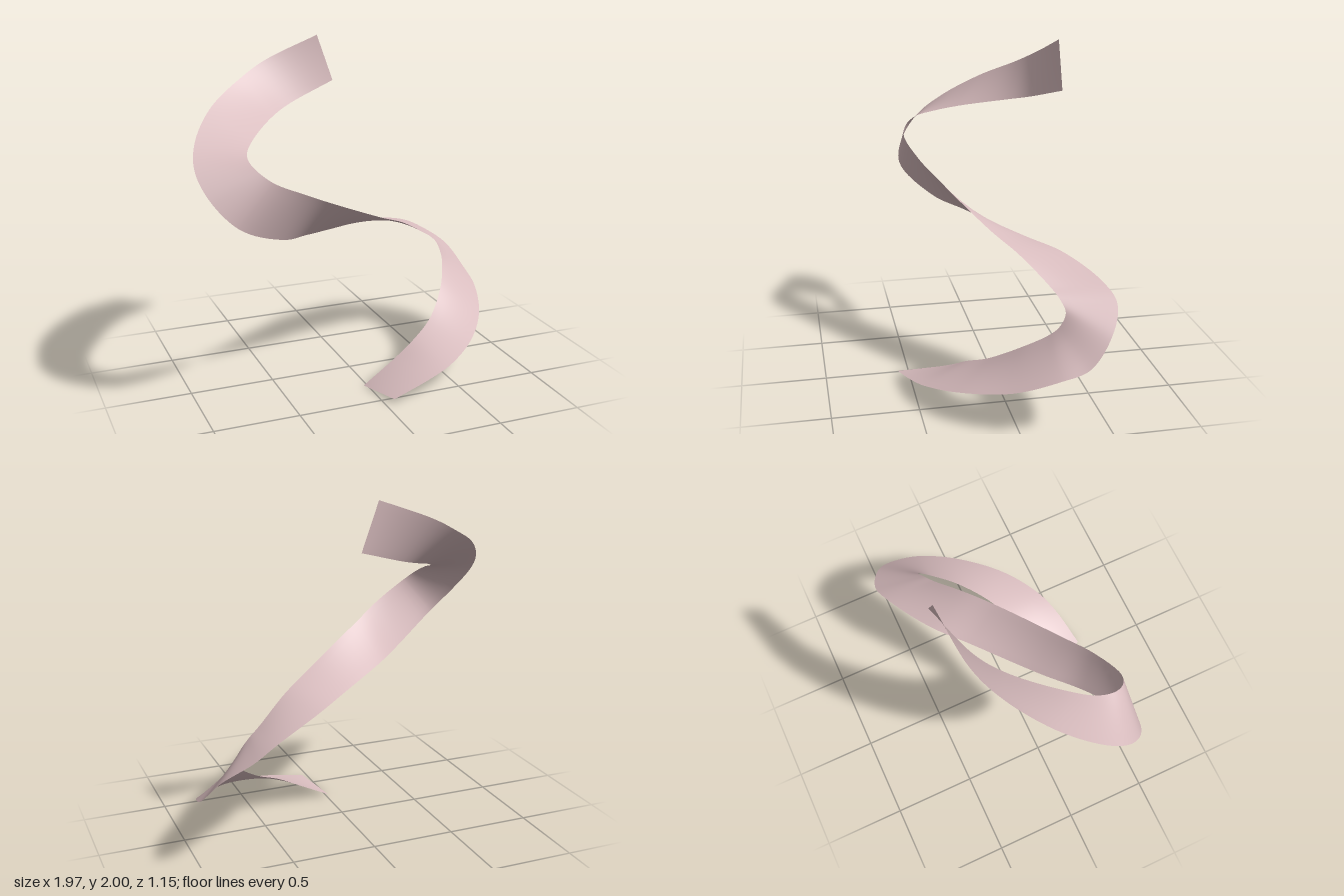
import * as THREE from 'three';

// Stations along the ribbon: inner edge x, y, z, then outer edge x, y, z
const stations = [
  [-0.02, 0.0, 0.28, 0.05, 0.03, 0.57],
  [0.2, 0.12, 0.235, 0.3, 0.09, 0.52],
  [0.34, 0.2, 0.195, 0.46, 0.125, 0.46],
  [0.5, 0.285, 0.1, 0.68, 0.18, 0.3],
  [0.65, 0.41, -0.06, 0.88, 0.25, 0.04],
  [0.73, 0.51, -0.2, 0.97, 0.34, -0.2],
  [0.745, 0.56, -0.25, 0.98, 0.4, -0.36],
  [0.73, 0.63, -0.285, 0.9, 0.55, -0.5],
  [0.67, 0.69, -0.265, 0.74, 0.665, -0.575],
  [0.6, 0.735, -0.23, 0.6, 0.735, -0.54],
  [0.4, 0.86, -0.1, 0.3, 0.82, -0.385],
  [0.2, 0.95, 0.03, 0.08, 0.855, -0.21],
  [-0.2, 1.14, 0.255, -0.3, 0.92, 0.09],
  [-0.4, 1.24, 0.36, -0.5, 0.965, 0.26],
  [-0.6, 1.34, 0.42, -0.8, 1.11, 0.43],
  [-0.67, 1.395, 0.39, -0.93, 1.25, 0.385],
  [-0.7, 1.435, 0.325, -0.985, 1.39, 0.27],
  [-0.685, 1.465, 0.22, -0.95, 1.51, 0.12],
  [-0.6, 1.51, 0.07, -0.8, 1.66, -0.1],
  [-0.4, 1.58, -0.18, -0.57, 1.785, -0.29],
  [-0.25, 1.625, -0.3, -0.38, 1.875, -0.38],
  [0.06, 1.72, -0.425, -0.04, 2.0, -0.425],
];

// Smooth curve through one edge of the stations
function edgeCurve(offset) {
  return new THREE.CatmullRomCurve3(
    stations.map((s) => new THREE.Vector3(s[offset], s[offset + 1], s[offset + 2])));
}

// A flat strip whose vertices are moved onto the surface between two edges
function ribbonGeometry(inner, outer, along, across) {
  const geometry = new THREE.PlaneGeometry(1, 1, along, across);
  const { position, uv } = geometry.attributes;
  for (let i = 0; i < position.count; i++) {
    const t = uv.getX(i);
    const p = inner.getPoint(t).lerp(outer.getPoint(t), 1 - uv.getY(i));
    position.setXYZ(i, p.x, p.y, p.z);
  }
  geometry.computeVertexNormals();
  return geometry;
}

export function createModel() {
  const palePink = new THREE.MeshStandardMaterial({ color: 0xd8bcbe, side: THREE.DoubleSide });
  palePink.name = 'palePink';

  const ribbon = new THREE.Mesh(ribbonGeometry(edgeCurve(0), edgeCurve(3), 168, 6), palePink);
  ribbon.name = 'ribbon';

  const model = new THREE.Group();
  model.name = 'twistedRibbon';
  model.add(ribbon);
  return model;
}
